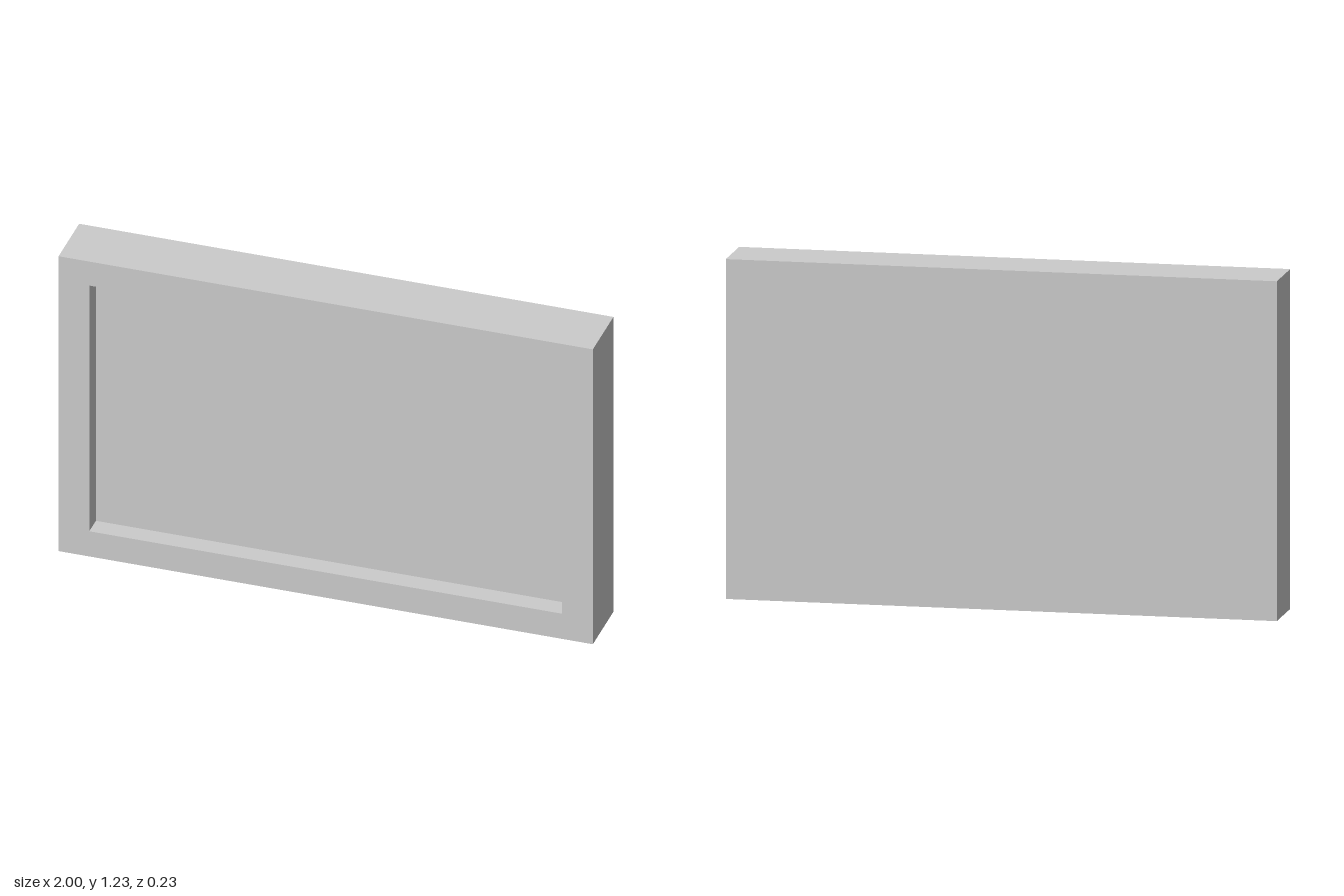
import * as THREE from 'three';

const W = 2, H = 1.23, D = 0.232;                 // outer size
const IN = { x: 0.885, y0: 0.105, y1: 1.13 };     // recess opening
const RECESS = 0.075;                             // recess depth

// Four corners of a rectangle, counter-clockwise seen from the front
const rect = (x, y0, y1, z) => [[-x, y0, z], [x, y0, z], [x, y1, z], [-x, y1, z]];

// Joins successive rectangular loops with flat quads
function skinLoops(loops) {
  const pos = [];
  for (let i = 0; i < loops.length - 1; i++) {
    for (let k = 0; k < 4; k++) {
      const n = (k + 1) % 4;
      const a = loops[i][k], b = loops[i][n], c = loops[i + 1][n], d = loops[i + 1][k];
      pos.push(...a, ...b, ...c, ...a, ...c, ...d);
    }
  }
  const geo = new THREE.BufferGeometry();
  geo.setAttribute('position', new THREE.Float32BufferAttribute(pos, 3));
  geo.computeVertexNormals();
  return geo;
}

export function createModel() {
  const group = new THREE.Group();
  group.name = 'recessedPanel';
  const material = new THREE.MeshStandardMaterial({ color: 0xcccccc, flatShading: true });
  const add = (name, geo) => {
    const mesh = new THREE.Mesh(geo, material);
    mesh.name = name;
    group.add(mesh);
    return mesh;
  };

  // Outer walls, front border and recess walls
  add('frame', skinLoops([
    rect(W / 2, 0, H, -D / 2),
    rect(W / 2, 0, H, D / 2),
    rect(IN.x, IN.y0, IN.y1, D / 2),
    rect(IN.x, IN.y0, IN.y1, D / 2 - RECESS),
  ]));

  // Floor of the recess
  add('recessedFace', new THREE.PlaneGeometry(IN.x * 2, IN.y1 - IN.y0))
    .position.set(0, (IN.y0 + IN.y1) / 2, D / 2 - RECESS);

  // Plain back
  const back = add('back', new THREE.PlaneGeometry(W, H));
  back.position.set(0, H / 2, -D / 2);
  back.rotation.y = Math.PI;

  return group;
}
